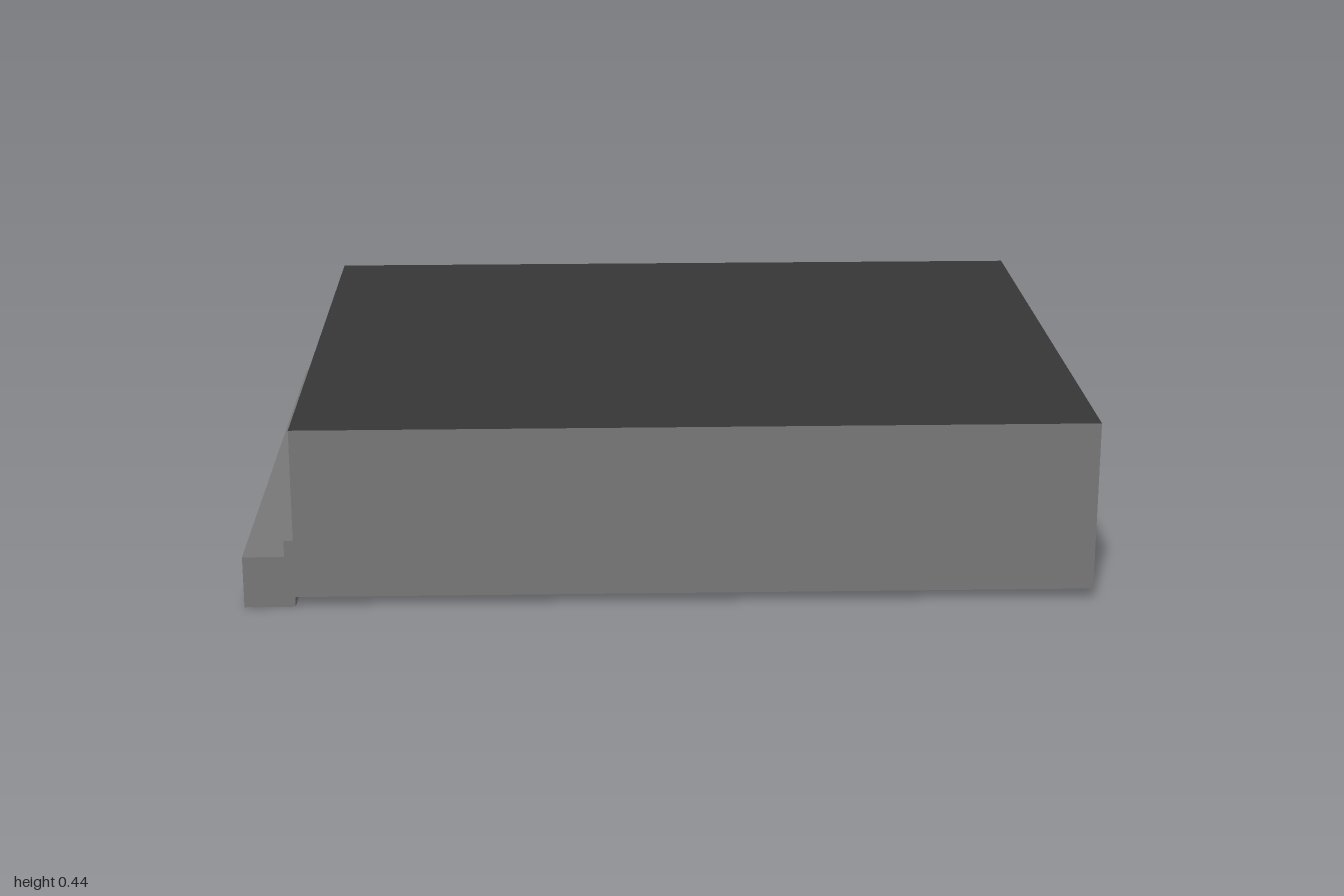
import * as THREE from 'three';

export function createModel() {
  const root = new THREE.Group();
  root.name = 'controlUnit';
  const mat = (name, color) => {
    const m = new THREE.MeshStandardMaterial({ color });
    m.name = name;
    return m;
  };
  const grey = mat('casing grey', 0x787878);
  const dark = mat('dark grey', 0x373737);
  const gold = mat('connector gold', 0xb8800f);

  // Box given by its two corners
  const box = (name, [x0, y0, z0], [x1, y1, z1], material) => {
    const mesh = new THREE.Mesh(new THREE.BoxGeometry(x1 - x0, y1 - y0, z1 - z0), material);
    mesh.position.set((x0 + x1) / 2, (y0 + y1) / 2, (z0 + z1) / 2);
    mesh.name = name;
    root.add(mesh);
  };

  // Casing with a dark lid face; face order is +x, -x, +y, -y, +z, -z
  box('casing', [-0.88, 0.025, -0.762], [1, 0.435, 0.762], [grey, grey, dark, grey, grey, grey]);

  // Mounting ledge, dark outside and underneath, with a small step against the casing
  box('mountingLedge', [-1, 0, -0.76], [-0.88, 0.125, 0.76], [grey, dark, grey, dark, grey, grey]);
  box('ledgeStep', [-0.902, 0.125, -0.76], [-0.88, 0.165, 0.76], grey);

  // Thin seam lip and corner clip at the back
  box('backLip', [-0.86, 0.025, -0.766], [0.97, 0.042, -0.762], grey);
  box('cornerClip', [-0.905, 0.1, -0.768], [-0.8, 0.18, -0.755], grey);

  // Arched connector outline with rows of pin holes
  const outline = new THREE.Shape();
  const w = 0.137, h = 0.11, r = 0.075;
  outline.moveTo(-w + 0.012, 0);
  outline.lineTo(w - 0.012, 0);
  outline.quadraticCurveTo(w, 0, w, 0.012);
  outline.lineTo(w, h - r);
  outline.quadraticCurveTo(w, h, w - r, h);
  outline.lineTo(-w + r, h);
  outline.quadraticCurveTo(-w, h, -w, h - r);
  outline.lineTo(-w, 0.012);
  outline.quadraticCurveTo(-w, 0, -w + 0.012, 0);
  [[0.024, 5], [0.055, 5], [0.086, 3]].forEach(([y, count]) => {
    for (let i = 0; i < count; i++) {
      const hole = new THREE.Path();
      hole.absarc((i - (count - 1) / 2) * 0.044, y, 0.0125, 0, Math.PI * 2, true);
      outline.holes.push(hole);
    }
  });
  const plate = new THREE.ExtrudeGeometry(outline, { depth: 0.012, bevelEnabled: false, curveSegments: 8 });

  [-0.45, 0.005, 0.485].forEach((z) => {
    const connector = new THREE.Mesh(plate, gold);
    connector.rotation.y = -Math.PI / 2;
    connector.position.set(-0.879, 0.23, z);
    connector.name = 'connector';
    root.add(connector);
  });

  return root;
}
